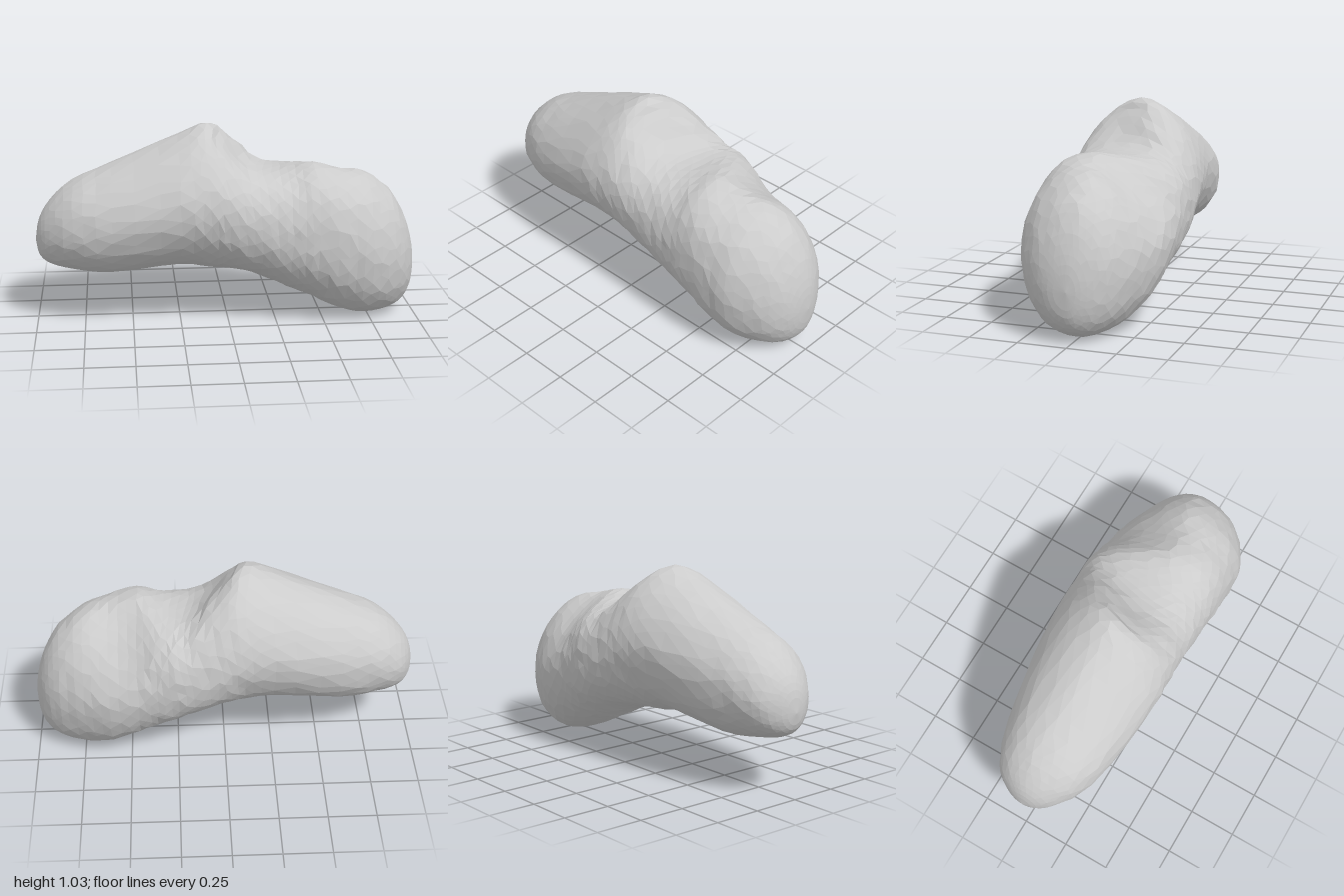
import * as THREE from 'three';

// Cross-sections along x: [x, bottom, top, front z, back z,
//   squareness of upper front, upper back and underside]
const SECTIONS = [
  [-1.0, 0.43, 0.43, 0, 0, 2, 2, 2],
  [-0.98, 0.345, 0.54, 0.08, -0.08, 2, 2, 2],
  [-0.92, 0.30, 0.64, 0.16, -0.17, 2, 2, 2],
  [-0.8, 0.272, 0.745, 0.25, -0.23, 2, 2, 2],
  [-0.6, 0.253, 0.83, 0.31, -0.28, 1.9, 1.95, 2],
  [-0.25, 0.29, 0.98, 0.355, -0.325, 1.7, 1.75, 2],
  [-0.1, 0.268, 1.035, 0.355, -0.34, 1.6, 1.65, 2],
  [0.0, 0.265, 0.95, 0.35, -0.35, 1.9, 1.8, 2.1],
  [0.12, 0.24, 0.83, 0.345, -0.36, 2.4, 2.4, 2.1],
  [0.24, 0.19, 0.798, 0.345, -0.365, 2.5, 2.9, 2.1],
  [0.35, 0.14, 0.812, 0.35, -0.36, 2.2, 2.2, 2.15],
  [0.45, 0.095, 0.83, 0.355, -0.355, 2.1, 1.5, 2.2],
  [0.6, 0.025, 0.795, 0.355, -0.335, 2, 1.5, 2.25],
  [0.73, 0.0, 0.765, 0.34, -0.285, 2, 1.6, 2.25],
  [0.86, 0.015, 0.67, 0.27, -0.22, 2, 1.8, 2.2],
  [0.94, 0.06, 0.54, 0.19, -0.15, 2, 2, 2.1],
  [0.985, 0.14, 0.40, 0.10, -0.07, 2, 2, 2],
  [1.0, 0.27, 0.27, 0, 0, 2, 2, 2],
];
const RINGS = 51, SIDES = 28;

// Repeatable value in -1..1 for surface roughness
const rough = (i, j) => {
  const s = Math.sin(i * 127.1 + j * 311.7) * 43758.5453;
  return 2 * (s - Math.floor(s)) - 1;
};

const bump = (x, centre, width) => Math.exp(-(((x - centre) / width) ** 2));

// Smooth curve through three columns of the section table
const columns = (a, b, c) => new THREE.CatmullRomCurve3(
  SECTIONS.map((s) => new THREE.Vector3(s[a], s[b], s[c])), false, 'catmullrom', 0.5);

function rockGeometry() {
  const heights = columns(0, 1, 2), widths = columns(3, 4, 4), shapes = columns(5, 6, 7);
  const positions = [], index = [];

  for (let i = 0; i <= RINGS; i++) {
    const h = heights.getPoint(i / RINGS);
    const w = widths.getPoint(i / RINGS);
    const shape = shapes.getPoint(i / RINGS);
    const mid = (h.y + h.z) / 2, half = (h.z - h.y) / 2;
    const crest = 0.07 * bump(h.x, 0.52, 0.17); // lobe crest leans to the front
    for (let j = 0; j < SIDES; j++) {
      // Stagger the rings so the facets look irregular
      const a = ((j + (i % 2) * 0.5 + 0.25 * rough(i, j)) / SIDES) * Math.PI * 2;
      const c = Math.cos(a), s = Math.sin(a);
      const power = s < 0 ? shape.z : c > 0 ? shape.x : shape.y;
      const r = (Math.abs(c) ** power + Math.abs(s) ** power) ** (-1 / power);
      const up = Math.max(0, s);
      const z = r * (1 + 0.012 * rough(j + 7, i)) * c * (c > 0 ? w.x : -w.y) + crest * up * up;
      const y = mid + r * s * half;
      // The notch between the lobes runs diagonally across the top
      const x = h.x - 0.4 * Math.min(z, 0.08) * up * bump(h.x, 0.03, 0.22);
      const jitter = 0.007 * Math.min(1, half * 4) * rough(i + 3, j + 11) * (1 - Math.abs(h.x) ** 4);
      positions.push(x + jitter, Math.max(0, y), z);
    }
  }
  // Counter-clockwise from outside, diagonals alternating per ring
  for (let i = 0; i < RINGS; i++) {
    for (let j = 0; j < SIDES; j++) {
      const n = (j + 1) % SIDES;
      const a = i * SIDES + j, b = i * SIDES + n, c = a + SIDES, d = b + SIDES;
      if (i % 2) index.push(a, c, d, a, d, b);
      else index.push(a, c, b, b, c, d);
    }
  }
  const geometry = new THREE.BufferGeometry();
  geometry.setAttribute('position', new THREE.Float32BufferAttribute(positions, 3));
  geometry.setIndex(index);
  geometry.computeVertexNormals();
  return geometry;
}

export function createModel() {
  const group = new THREE.Group();
  group.name = 'asteroid';
  const rock = new THREE.Mesh(
    rockGeometry(),
    new THREE.MeshStandardMaterial({ color: 0xcccccc, flatShading: true }));
  rock.name = 'rockBody';
  group.add(rock);
  return group;
}
